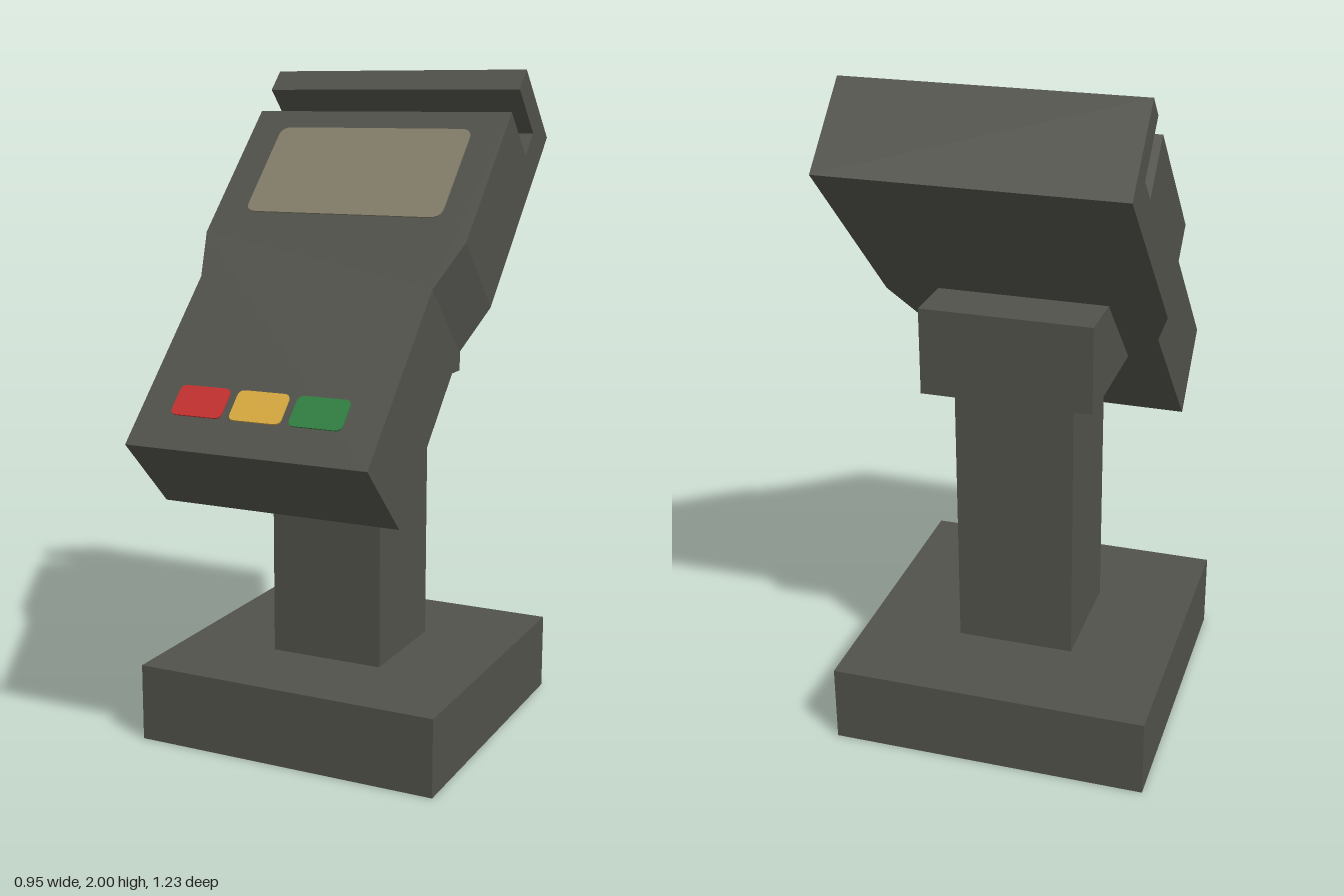
import * as THREE from 'three';

const mat = (name, color) => {
  const m = new THREE.MeshStandardMaterial({ color });
  m.name = name;
  return m;
};

// Polygon from [x, y] points
const polygon = (pts) => new THREE.Shape(pts.map(([x, y]) => new THREE.Vector2(x, y)));

const extrude = (shape, depth) =>
  new THREE.ExtrudeGeometry(shape, { depth, bevelEnabled: false, curveSegments: 5 });

// Side profile of [z, y] points, swept across the width along x
function sweepAcross(pts, width) {
  const geo = extrude(polygon(pts.map(([z, y]) => [-z, y])), width);
  geo.translate(0, 0, -width / 2);
  geo.rotateY(Math.PI / 2);
  return geo;
}

function roundedRect(x0, y0, x1, y1, r) {
  const s = new THREE.Shape();
  s.moveTo(x0 + r, y0);
  s.lineTo(x1 - r, y0);
  s.quadraticCurveTo(x1, y0, x1, y0 + r);
  s.lineTo(x1, y1 - r);
  s.quadraticCurveTo(x1, y1, x1 - r, y1);
  s.lineTo(x0 + r, y1);
  s.quadraticCurveTo(x0, y1, x0, y1 - r);
  s.lineTo(x0, y0 + r);
  s.quadraticCurveTo(x0, y0, x0 + r, y0);
  return s;
}

export function createModel() {
  const model = new THREE.Group();
  model.name = 'cardTerminalOnStand';

  const casing = mat('casing grey', 0x52524c);
  const glass = mat('screen beige', 0x827e69);
  const red = mat('button red', 0xc53030);
  const yellow = mat('button yellow', 0xd8a93e);
  const green = mat('button green', 0x2f8040);

  const add = (parent, name, geo, material) => {
    const mesh = new THREE.Mesh(geo, material);
    mesh.name = name;
    parent.add(mesh);
    return mesh;
  };

  // Stand: square base, column and wedge bracket
  add(model, 'base', new THREE.BoxGeometry(0.95, 0.235, 0.95), casing).position.set(0, 0.1175, -0.072);
  add(model, 'column', new THREE.BoxGeometry(0.356, 0.845, 0.356), casing).position.set(0, 0.6575, -0.07);
  add(model, 'bracket', sweepAcross(
    [[0.104, 1.08], [-0.325, 1.08], [-0.325, 1.34], [-0.156, 1.34]], 0.506), casing);

  // Terminal: local y runs up the sloping face, local z points out of it
  const thick = 0.293, length = 1.45, slot = 1.273;
  const terminal = new THREE.Group();
  terminal.name = 'terminal';
  terminal.position.set(0.004, 0.767, 0.415);
  terminal.rotation.x = -Math.PI / 4;
  model.add(terminal);

  // Body, waisted towards the lower end
  const half = [[0.37, 0], [0.37, 0.6], [0.42, 0.77], [0.42, slot]];
  const outline = [...half, ...half.map(([x, y]) => [-x, y]).reverse()];
  add(terminal, 'body', extrude(polygon(outline), thick), casing);

  // L-shaped end that forms the card slot
  add(terminal, 'cardSlot', sweepAcross(
    [[0, slot], [0.105, slot], [0.105, 1.367], [thick, 1.367], [thick, length], [0, length]], 0.84), casing);

  // Thin plates on the face: screen and three buttons
  const plate = (name, shape, material) => {
    add(terminal, name, extrude(shape, 0.005), material).position.z = thick - 0.001;
  };
  plate('screen', roundedRect(-0.318, 0.855, 0.318, 1.2, 0.035), glass);
  [['redButton', red], ['yellowButton', yellow], ['greenButton', green]].forEach(([name, m], i) => {
    const x = (i - 1) * 0.184 - 0.007;
    plate(name, roundedRect(x - 0.08, 0.112, x + 0.08, 0.212, 0.02), m);
  });

  return model;
}
